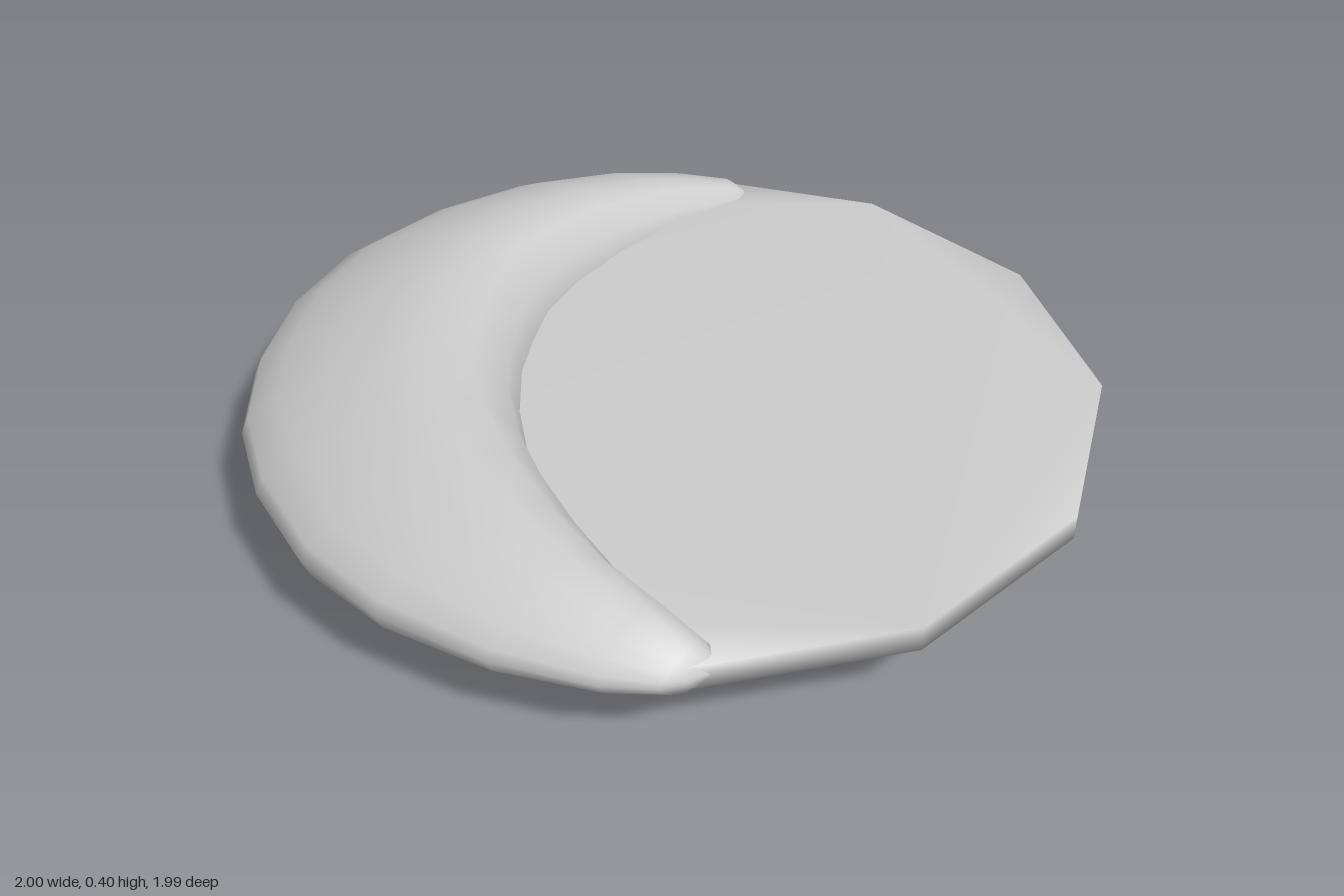
import * as THREE from 'three';
import { mergeVertices } from 'three/addons/utils/BufferGeometryUtils.js';

const MID_Y = 0.203;
const material = () => new THREE.MeshStandardMaterial({ color: 0xcccccc });

// Twelve-sided thin plate with softened shading across its rim
function createDisc() {
  const points = [];
  for (let i = 0; i < 12; i++) {
    const a = (i / 12) * Math.PI * 2;
    points.push(new THREE.Vector2(0.03 + 0.97 * Math.cos(a), 0.965 * Math.sin(a)));
  }
  let geometry = new THREE.ExtrudeGeometry(new THREE.Shape(points), { depth: 0.06, bevelEnabled: false });
  geometry.rotateX(-Math.PI / 2).translate(0, MID_Y - 0.03, 0);
  geometry.deleteAttribute('uv');
  geometry.deleteAttribute('normal');
  geometry = mergeVertices(geometry);
  geometry.computeVertexNormals();
  const disc = new THREE.Mesh(geometry, material());
  disc.name = 'disc';
  return disc;
}

// Swollen crescent, lofted from tip to tip
function createCrescent() {
  // Stations: outer x, outer z, inner x, inner z, half height
  const stations = [
    [0.19, -0.925, 0.185, -0.89, 0.015],
    [0.08, -0.985, 0.16, -0.85, 0.06],
    [-0.05, -0.995, 0.07, -0.78, 0.09],
    [-0.26, -0.96, -0.02, -0.7, 0.125],
    [-0.49, -0.87, -0.15, -0.56, 0.16],
    [-0.7, -0.72, -0.25, -0.41, 0.182],
    [-0.87, -0.52, -0.31, -0.28, 0.195],
    [-0.965, -0.29, -0.335, -0.15, 0.2],
    [-1, -0.04, -0.35, -0.02, 0.201],
    [-0.98, 0.2, -0.34, 0.14, 0.2],
    [-0.9, 0.42, -0.31, 0.28, 0.194],
    [-0.76, 0.64, -0.25, 0.43, 0.182],
    [-0.58, 0.8, -0.17, 0.58, 0.162],
    [-0.34, 0.925, -0.09, 0.7, 0.13],
    [-0.12, 0.985, 0.01, 0.8, 0.095],
    [0, 0.99, 0.1, 0.89, 0.06],
    [0.05, 0.975, 0.105, 0.91, 0.038],
    [0.1, 0.945, 0.105, 0.93, 0.012],
  ];
  // Teardrop section: distance from outer to inner edge, relative height
  const upper = [[0, 0], [0.03, 0.22], [0.15, 0.48], [0.31, 0.72], [0.5, 0.92],
    [0.68, 1], [0.84, 0.88], [0.95, 0.5], [1, 0]];
  const lower = upper.slice(1, -1).reverse().map(([u, h]) => [u, -h]);
  const section = [...upper, ...lower];
  const n = section.length;

  const positions = [];
  const indices = [];
  for (const [ox, oz, ix, iz, half] of stations) {
    for (const [u, h] of section) {
      positions.push(ox + (ix - ox) * u, MID_Y + half * h, oz + (iz - oz) * u);
    }
  }
  for (let s = 0; s < stations.length - 1; s++) {
    for (let i = 0; i < n; i++) {
      const a = s * n + i;
      const b = s * n + ((i + 1) % n);
      indices.push(a, a + n, b, b, a + n, b + n);
    }
  }
  // Close both tips
  const last = (stations.length - 1) * n;
  for (let i = 1; i < n - 1; i++) {
    indices.push(0, i, i + 1);
    indices.push(last, last + i + 1, last + i);
  }

  const geometry = new THREE.BufferGeometry();
  geometry.setAttribute('position', new THREE.Float32BufferAttribute(positions, 3));
  geometry.setIndex(indices);
  geometry.computeVertexNormals();
  const crescent = new THREE.Mesh(geometry, material());
  crescent.name = 'crescent';
  return crescent;
}

export function createModel() {
  const model = new THREE.Group();
  model.name = 'crescentDisc';
  model.add(createDisc(), createCrescent());
  return model;
}
